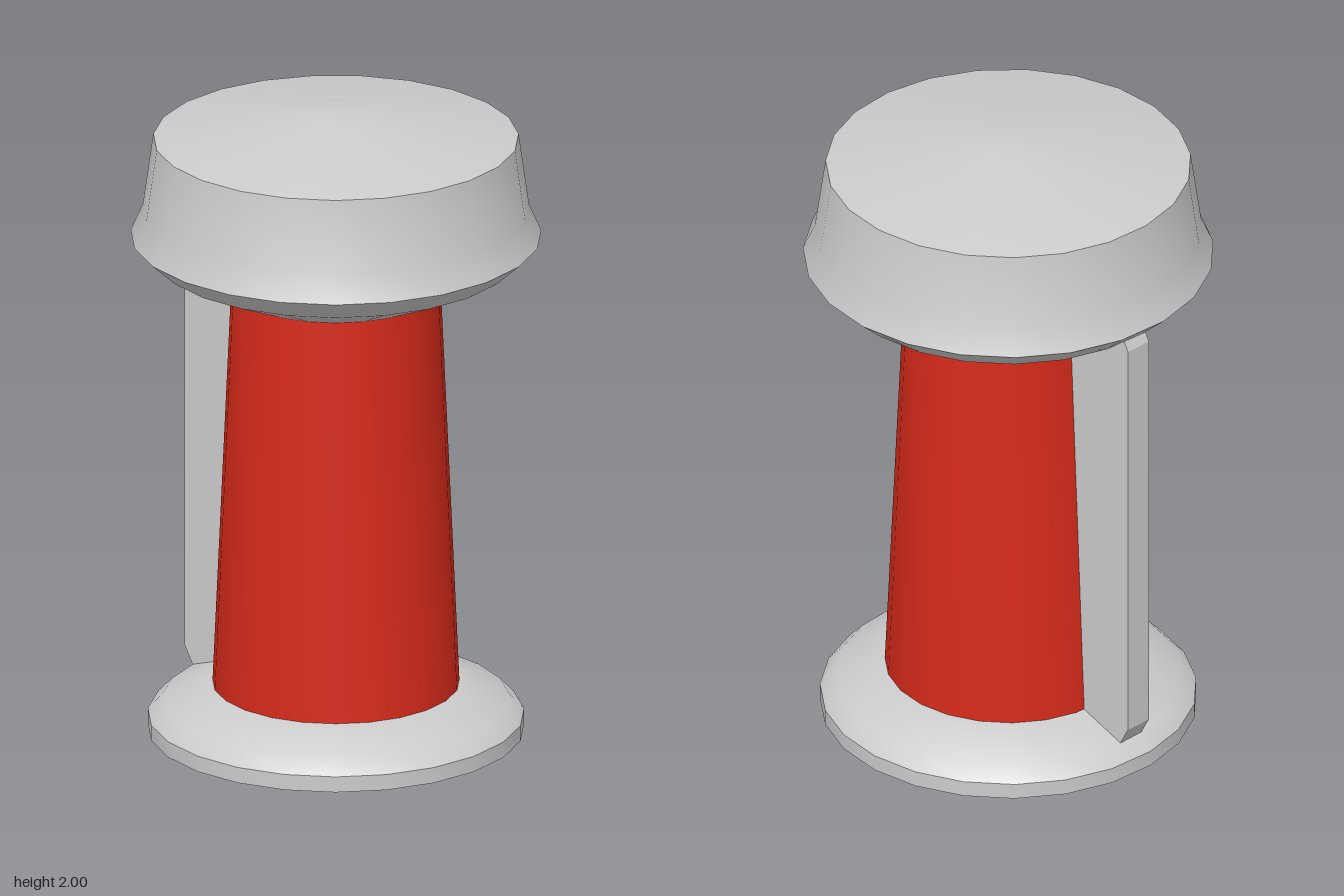
import * as THREE from 'three';
import { toCreasedNormals } from 'three/addons/utils/BufferGeometryUtils.js';

const SIDES = 23;

// Turned part from [radius, height] pairs listed bottom to top, with crisp rims
function turned(name, profile, material) {
  const points = profile.map(([r, y]) => new THREE.Vector2(r, y));
  const geometry = new THREE.LatheGeometry(points, SIDES, Math.PI);
  const mesh = new THREE.Mesh(toCreasedNormals(geometry, Math.PI / 6), material);
  mesh.name = name;
  return mesh;
}

export function createModel() {
  const grey = new THREE.MeshStandardMaterial({ color: 0xcccccc, side: THREE.DoubleSide });
  const red = new THREE.MeshStandardMaterial({ color: 0xd62a1a, side: THREE.DoubleSide });
  const model = new THREE.Group();
  model.name = 'tower';

  // Flared foot, hollow from below
  model.add(turned('base', [
    [0.575, 0], [0.575, 0.05], [0.53, 0.097], [0.375, 0.15], [0, 0.15],
  ], grey));

  // Tapered column
  model.add(turned('column', [[0.377, 0.15], [0.32, 1.43]], red));

  // Wide head with a shallow domed top
  model.add(turned('head', [
    [0, 1.43], [0.32, 1.43], [0.55, 1.53], [0.627, 1.6],
    [0.59, 1.685], [0.558, 1.914], [0.1, 2], [0, 2],
  ], grey));

  // Upright fin on the right side, running from the foot into the head
  const outline = new THREE.Shape([
    [-0.3, 0.16], [-0.4, 0.125], [-0.505, 0.06], [-0.53, 0.1], [-0.56, 0.155],
    [-0.56, 1.5], [-0.53, 1.56], [-0.28, 1.56],
  ].map(([x, y]) => new THREE.Vector2(x, y)));
  const thickness = 0.09;
  const finGeometry = new THREE.ExtrudeGeometry(outline, { depth: thickness, bevelEnabled: false });
  finGeometry.translate(0, 0, -thickness / 2);
  const fin = new THREE.Mesh(finGeometry, grey);
  fin.name = 'fin';
  model.add(fin);

  return model;
}
